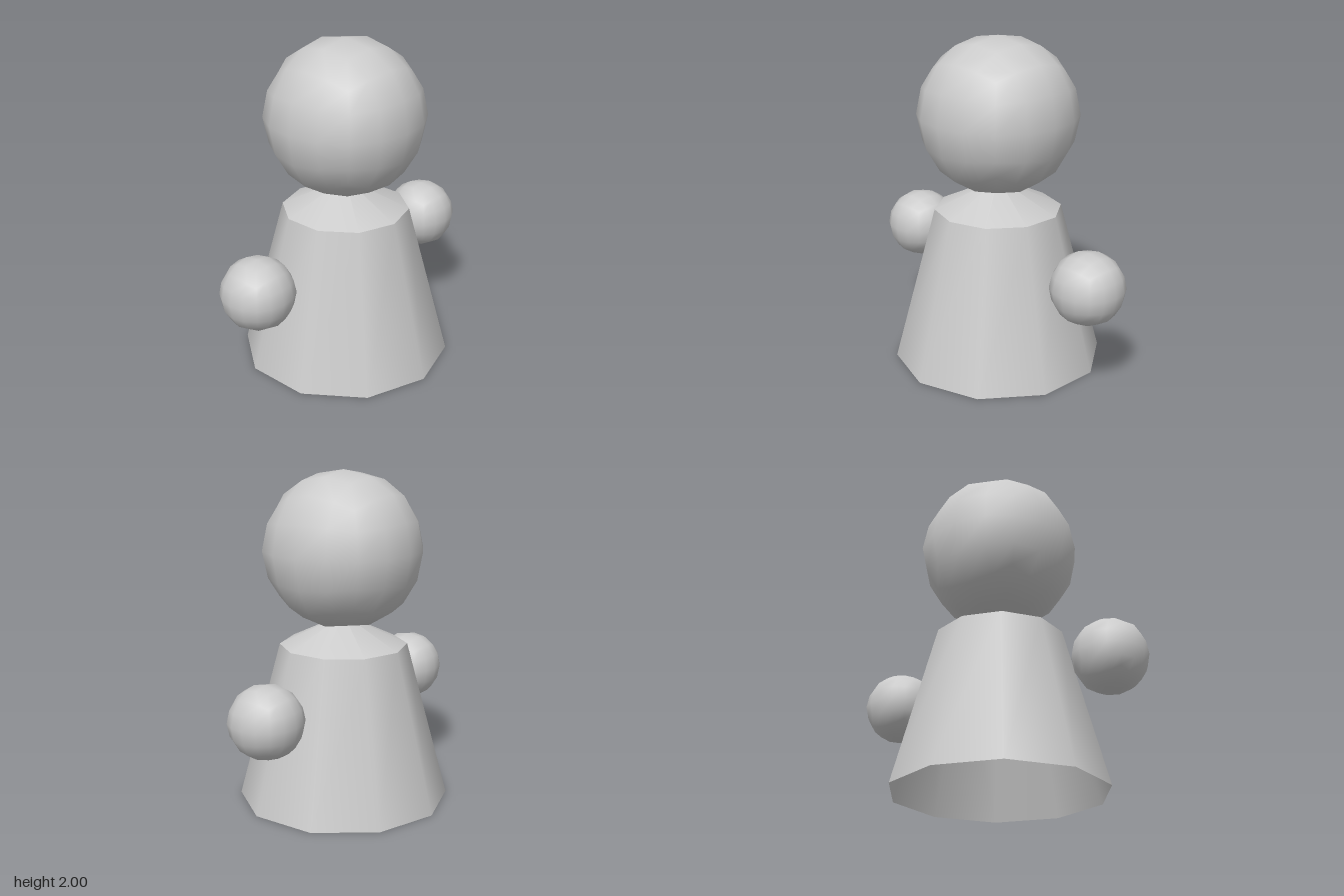
import * as THREE from 'three';
import { mergeVertices } from 'three/addons/utils/BufferGeometryUtils.js';

const SIDES = 10;

// Rounded cube profile: squared length of a cube grid point -> [full, half] coordinates
const ROUNDING = {
  1: [0.8785, 0],
  1.25: [0.8195, 0.3505],
  1.5: [0.764, 0.326],
  2: [0.643, 0],
  2.25: [0.599, 0.302],
  3: [0.509, 0],
};

// Ball made of a four-by-four grid per cube side, softened into a near sphere
function ballGeometry(radius) {
  let geometry = new THREE.BoxGeometry(2, 2, 2, 4, 4, 4);
  geometry.deleteAttribute('normal');
  geometry.deleteAttribute('uv');
  geometry = mergeVertices(geometry);
  const position = geometry.attributes.position;
  const scale = radius / ROUNDING[1][0];
  const p = new THREE.Vector3();
  for (let i = 0; i < position.count; i++) {
    p.fromBufferAttribute(position, i);
    const [full, half] = ROUNDING[p.lengthSq()];
    const move = (v) => Math.sign(v) * scale * (Math.abs(v) === 1 ? full : v === 0 ? 0 : half);
    position.setXYZ(i, move(p.x), move(p.y), move(p.z));
  }
  geometry.computeVertexNormals();
  return geometry;
}

export function createModel() {
  const model = new THREE.Group();
  model.name = 'figure';
  const solid = new THREE.MeshStandardMaterial({ color: 0xcccccc });
  const shell = new THREE.MeshStandardMaterial({ color: 0xcccccc, side: THREE.DoubleSide });

  function add(name, geometry, material, x, y) {
    const mesh = new THREE.Mesh(geometry, material);
    mesh.name = name;
    mesh.position.set(x, y, 0);
    model.add(mesh);
  }

  // Tapered hollow body, open underneath
  const shoulderY = 0.957;
  add('body', new THREE.CylinderGeometry(0.385, 0.64, shoulderY, SIDES, 1, true), shell, 0, shoulderY / 2);

  // Shallow cone closing the top of the body
  const slope = 0.182;
  add('shoulders', new THREE.ConeGeometry(0.385, slope, SIDES, 1, true), shell, 0, shoulderY + slope / 2);

  // Head and floating hands
  add('head', ballGeometry(0.467), solid, 0, 1.533);
  for (const side of [1, -1]) {
    add(side > 0 ? 'leftHand' : 'rightHand', ballGeometry(0.212), solid, side * 0.738, 0.662);
  }
  return model;
}
